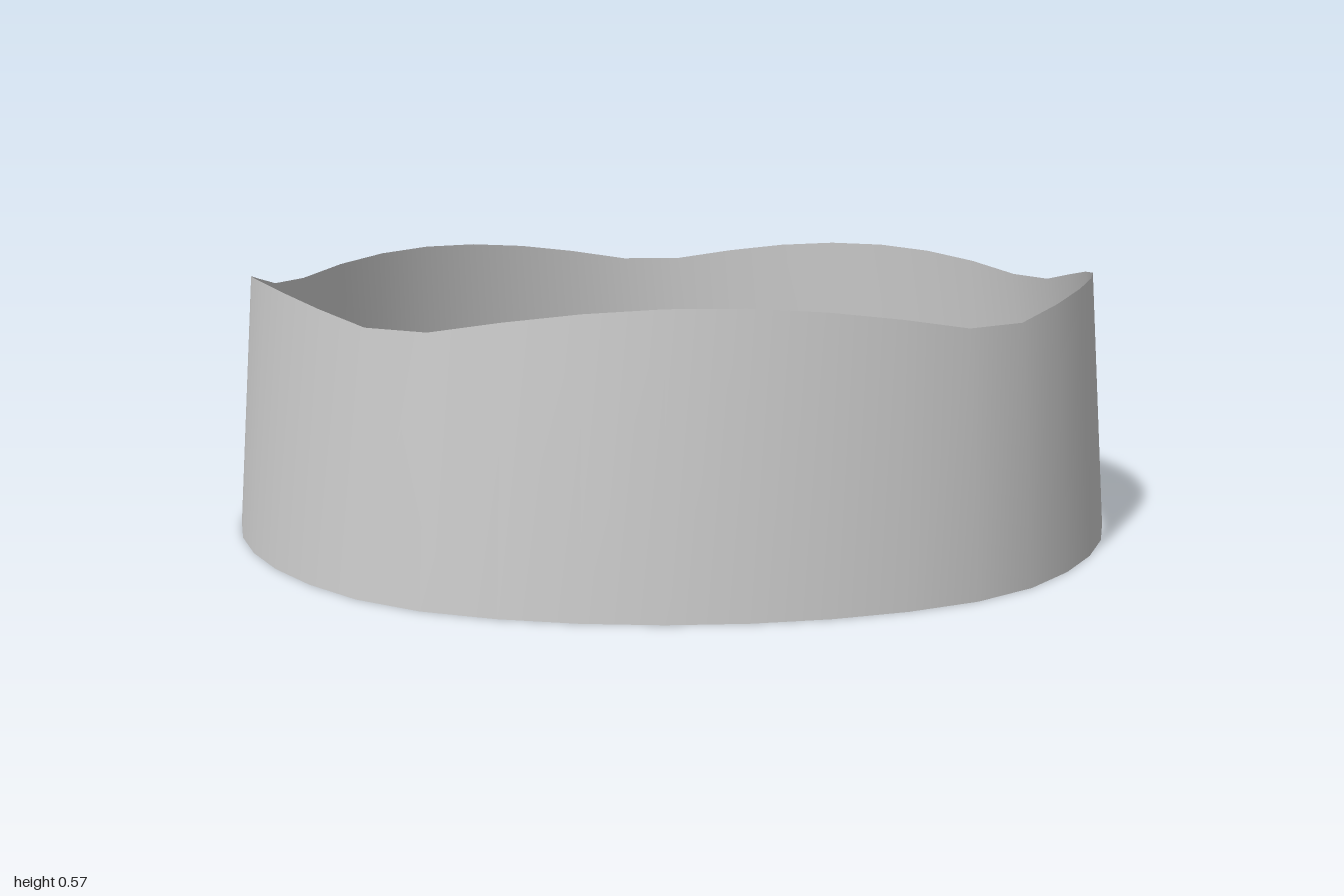
import * as THREE from 'three';

const SEGMENTS = 40; // eight facets for each of the five lobes
const TAPER = 0.96;
const CENTRE_X = -0.0115;

// Open five-lobed band: soft corners with a low rim, sides with an arched rim.
function bandGeometry() {
  const positions = [];
  const indices = [];
  for (let i = 0; i < SEGMENTS; i++) {
    const angle = ((i + 0.5) / SEGMENTS) * Math.PI * 2;
    const arch = Math.abs(Math.sin(2.5 * angle)); // 0 at a corner, 1 mid-side
    const radius = 1.0202 - 0.0293 * arch;
    const height = 0.508 + 0.067 * arch;
    const x = Math.cos(angle) * radius;
    const z = Math.sin(angle) * radius;
    positions.push(x + CENTRE_X, 0, z);
    positions.push(x * TAPER + CENTRE_X, height, z * TAPER);

    const bottom = i * 2;
    const nextBottom = ((i + 1) % SEGMENTS) * 2;
    indices.push(bottom, bottom + 1, nextBottom);
    indices.push(nextBottom, bottom + 1, nextBottom + 1);
  }
  const geometry = new THREE.BufferGeometry();
  geometry.setAttribute('position', new THREE.Float32BufferAttribute(positions, 3));
  geometry.setIndex(indices);
  geometry.computeVertexNormals();
  return geometry;
}

export function createModel() {
  const model = new THREE.Group();
  model.name = 'scallopedBand';

  // Thin wall, visible from inside and outside
  const material = new THREE.MeshStandardMaterial({ color: 0xcccccc, side: THREE.DoubleSide });
  const wall = new THREE.Mesh(bandGeometry(), material);
  wall.name = 'bandWall';
  model.add(wall);
  return model;
}
